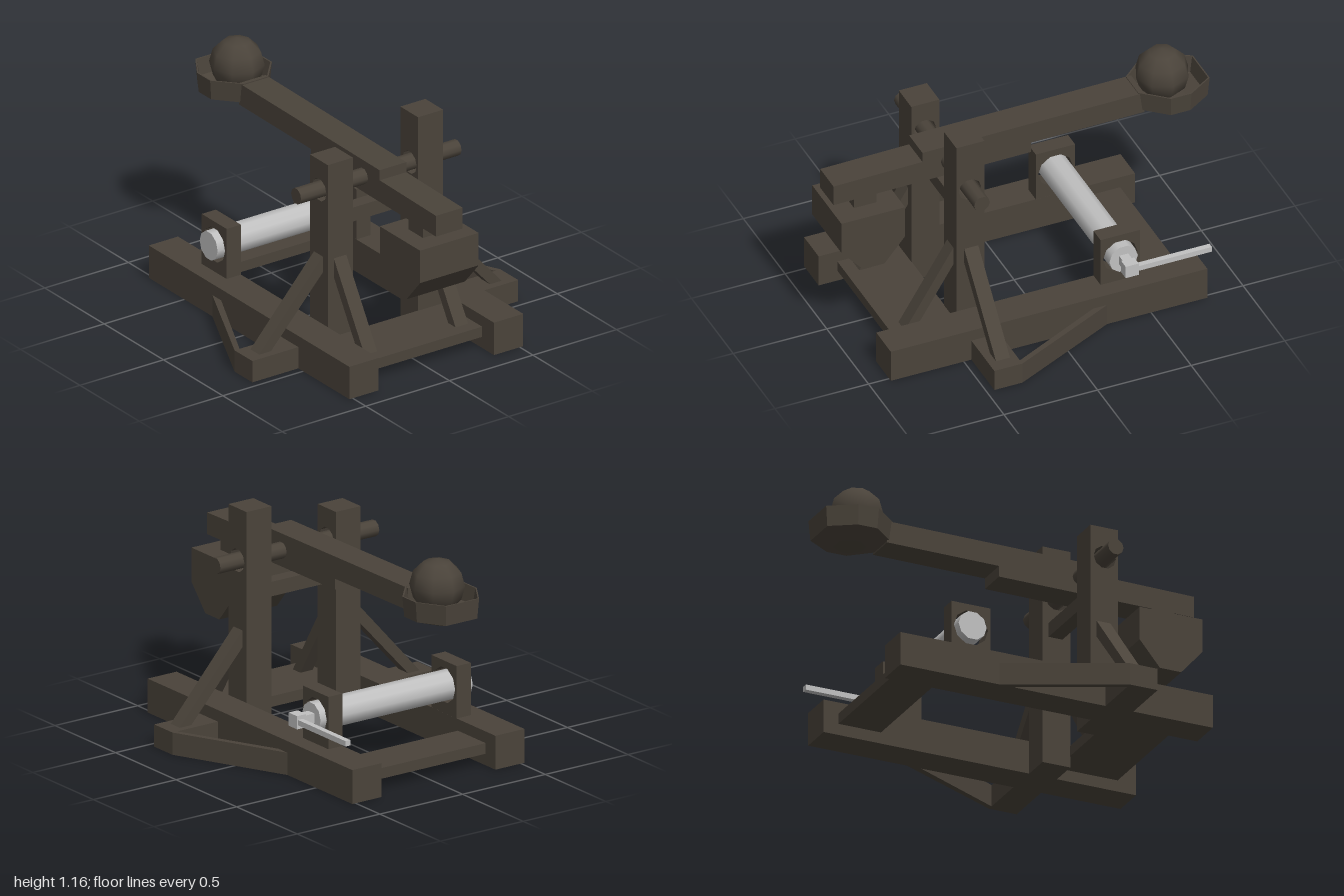
import * as THREE from 'three';

export function createModel() {
  const root = new THREE.Group();
  const wood = new THREE.MeshStandardMaterial({ color: 0x4a433a });
  wood.name = 'dark wood';
  const metal = new THREE.MeshStandardMaterial({ color: 0xc0c0c0 });
  metal.name = 'pale metal';

  const add = (name, geometry, material = wood) => {
    const mesh = new THREE.Mesh(geometry, material);
    mesh.name = name;
    root.add(mesh);
    return mesh;
  };
  // Box from its limits on each axis
  const box = (name, x0, x1, y0, y1, z0, z1, material) => {
    const g = new THREE.BoxGeometry(Math.abs(x1 - x0), y1 - y0, z1 - z0);
    return add(name, g.translate((x0 + x1) / 2, (y0 + y1) / 2, (z0 + z1) / 2), material);
  };
  const extrude = (points, depth, hole) => {
    const shape = new THREE.Shape(points.map(p => new THREE.Vector2(p[0], p[1])));
    if (hole) {
      const path = new THREE.Path();
      path.absarc(hole[0], hole[1], hole[2], 0, Math.PI * 2, true);
      shape.holes.push(path);
    }
    return new THREE.ExtrudeGeometry(shape, { depth, bevelEnabled: false, curveSegments: 5 });
  };
  // Side profile of [z, y] points, extruded along x and centred on xc
  const profile = (name, points, xc, width, hole) =>
    add(name, extrude(points, width, hole).translate(0, 0, -width / 2)
      .rotateY(-Math.PI / 2).translate(xc, 0, 0));
  const rect = (z0, z1, y0, y1) => [[z0, y0], [z1, y0], [z1, y1], [z0, y1]];
  // Rod along x
  const rod = (name, r, x0, x1, y, z, sides, material) =>
    add(name, new THREE.CylinderGeometry(r, r, x1 - x0, sides)
      .rotateZ(Math.PI / 2).translate((x0 + x1) / 2, y, z), material);

  // Mirrored frame parts
  for (const s of [1, -1]) {
    const side = s > 0 ? 'left' : 'right';
    box(side + 'Rail', s * 0.345, s * 0.52, 0, 0.175, -0.8, 0.89);
    box(side + 'Outrigger', s * 0.52, s * 0.795, 0, 0.115, 0.31, 0.46);
    profile(side + 'Post', rect(0.312, 0.462, 0, s > 0 ? 1.16 : 1.05), s * 0.27, 0.15, [0.39, 0.89, 0.06]);
    profile(side + 'DrumBracket', rect(-0.48, -0.27, 0.17, 0.445), s * 0.388, 0.085, [-0.375, 0.32, 0.092]);
    profile(side + 'FrontBrace', [[0.46, 0.54], [0.722, 0.115], [0.66, 0.115], [0.46, 0.44]], s * 0.272, 0.075);
    add(side + 'SideBrace', extrude(
      [[0.345, 0.54], [0.725, 0.115], [0.655, 0.115], [0.345, 0.455]].map(([x, y]) => [s * x, y]), 0.075
    ).translate(0, 0, 0.345));
    add(side + 'DiagonalBrace', extrude(
      [[0.52, -0.265], [0.795, 0.31], [0.765, 0.31], [0.52, -0.19]].map(([x, z]) => [s * x, -z]), 0.115
    ).rotateX(-Math.PI / 2));
  }

  // Cross members
  box('frontCrossPlank', -0.345, 0.345, 0.06, 0.115, 0.46, 0.79);
  box('backCrossPlank', -0.345, 0.345, 0.06, 0.115, -0.72, -0.49);
  box('postCrossbar', -0.195, 0.195, 0.68, 0.755, 0.345, 0.42);
  rod('axle', 0.042, -0.48, 0.48, 0.89, 0.385, 10);

  // Throwing arm and counterweight
  profile('throwingArm', [
    [1, 0.8], [1, 0.912], [0.525, 0.92], [0.525, 0.974], [-0.66, 0.985],
    [-0.66, 0.87], [-0.055, 0.865], [-0.055, 0.808]
  ], 0, 0.16);
  box('counterweightHanger', -0.08, 0.08, 0.75, 0.805, 0.77, 0.89);
  profile('counterweight', [
    [1, 0.75], [0.66, 0.75], [0.66, 0.575], [0.77, 0.443], [0.885, 0.443], [1, 0.575]
  ], 0, 0.35);

  // Hollow cup: one octagon lofted from the base, over the rim and down inside
  const outline = [[0.185, 0.075], [0.075, 0.2], [-0.075, 0.2], [-0.185, 0.075],
    [-0.185, -0.035], [-0.1, -0.17], [0.1, -0.17], [0.185, -0.035]];
  const rings = [[0, 0.847], [0.4, 0.847], [0.95, 0.885], [1, 0.99], [0.96, 0.99], [0.88, 0.905], [0.4, 0.88], [0, 0.88]];
  const cup = [];
  const at = (r, i) => {
    const [scale, y] = rings[r], [x, z] = outline[i % outline.length];
    return [x * scale, y, -0.83 + z * scale];
  };
  for (let r = 0; r < rings.length - 1; r++) {
    for (let i = 0; i < outline.length; i++) {
      const a = at(r, i), b = at(r + 1, i), c = at(r + 1, i + 1), d = at(r, i + 1);
      if (rings[r + 1][0] > 0) cup.push(...a, ...b, ...c);
      if (rings[r][0] > 0) cup.push(...a, ...c, ...d);
    }
  }
  const cupGeometry = new THREE.BufferGeometry();
  cupGeometry.setAttribute('position', new THREE.Float32BufferAttribute(cup, 3));
  cupGeometry.computeVertexNormals();
  add('cup', cupGeometry);
  add('stoneBall', new THREE.SphereGeometry(0.138, 8, 6).translate(0, 1.022, -0.79));

  // Winch drum and crank
  rod('winchDrum', 0.076, -0.46, 0.46, 0.32, -0.38, 10, metal);
  box('crankShaft', 0.46, 0.516, 0.295, 0.345, -0.405, -0.355, metal);
  box('crankBlock', 0.515, 0.57, 0.287, 0.355, -0.412, -0.342, metal);
  box('crankHandle', 0.535, 0.565, 0.307, 0.335, -0.805, -0.41, metal);

  return root;
}
